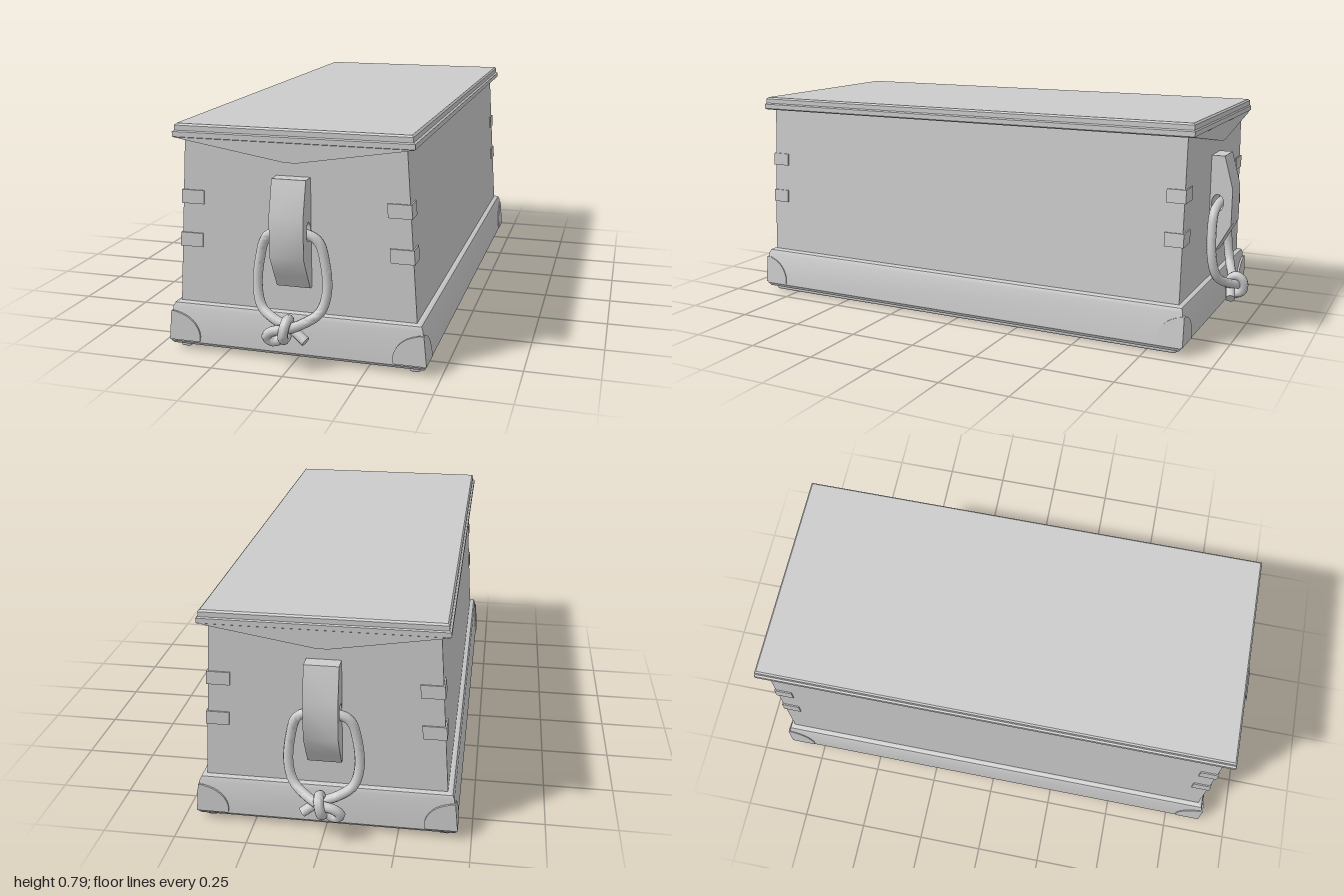
import * as THREE from 'three';
import { toCreasedNormals } from 'three/addons/utils/BufferGeometryUtils.js';
import { RoundedBoxGeometry } from 'three/addons/geometries/RoundedBoxGeometry.js';

const material = new THREE.MeshStandardMaterial({ color: 0xcccccc });

// Moves every vertex by a rule; flip reverses the winding for mirrored rules.
function warp(source, rule, flip = false, crease = 0.5) {
  const geo = source.index ? source.toNonIndexed() : source.clone();
  const pos = geo.attributes.position;
  const out = [];
  for (let i = 0; i < pos.count; i += 3) {
    for (const k of flip ? [0, 2, 1] : [0, 1, 2]) {
      out.push(...rule(pos.getX(i + k), pos.getY(i + k), pos.getZ(i + k)));
    }
  }
  const result = new THREE.BufferGeometry();
  result.setAttribute('position', new THREE.Float32BufferAttribute(out, 3));
  result.computeVertexNormals();
  return toCreasedNormals(result, crease);
}

// Closed box lofted through rectangles given as [y, halfWidth, halfDepth].
function loft(levels) {
  const points = [], index = [];
  levels.forEach(([y, hx, hz], r) => {
    points.push(hx, y, hz, hx, y, -hz, -hx, y, -hz, -hx, y, hz);
    if (r === 0) return;
    for (let k = 0; k < 4; k++) {
      const a = (r - 1) * 4 + k, b = (r - 1) * 4 + (k + 1) % 4;
      index.push(a, b, b + 4, a, b + 4, a + 4);
    }
  });
  const t = (levels.length - 1) * 4;
  index.push(0, 2, 1, 0, 3, 2, t, t + 1, t + 2, t, t + 2, t + 3);
  const geo = new THREE.BufferGeometry();
  geo.setAttribute('position', new THREE.Float32BufferAttribute(points, 3));
  geo.setIndex(index);
  return warp(geo, (x, y, z) => [x, y, z]);
}

const polygon = (pts) => new THREE.Shape(pts.map(([x, y]) => new THREE.Vector2(x, y)));
const extrude = (shape, depth) =>
  new THREE.ExtrudeGeometry(shape, { depth, bevelEnabled: false, curveSegments: 10 });

function add(parent, name, geo) {
  const mesh = new THREE.Mesh(geo, material);
  mesh.name = name;
  parent.add(mesh);
  return mesh;
}

// Two plates wrapped around each of the four upright corners.
function cornerPlates(parent, name, frontShape, sideShape, edgeX, edgeZ) {
  const depth = 0.02;
  const front = extrude(frontShape, depth), side = extrude(sideShape, depth);
  for (const sx of [1, -1]) for (const sz of [1, -1]) {
    const mirrored = sx * sz < 0;
    add(parent, name, warp(front, (u, y, w) =>
      [sx * (edgeX(y) - u), y, sz * (edgeZ - depth + w)], !mirrored));
    add(parent, name, warp(side, (u, y, w) =>
      [sx * (edgeX(y) - depth + w), y, sz * (edgeZ - u)], mirrored));
  }
}

const rectangle = (w, y0, y1) => polygon([[0, y0], [w, y0], [w, y1], [0, y1]]);

// Quarter-round corner guard outline.
function guardShape(width) {
  const s = new THREE.Shape();
  s.moveTo(0, 0.035);
  s.lineTo(width, 0.035);
  s.lineTo(width, 0.055);
  s.bezierCurveTo(width * 0.95, 0.09, width * 0.65, 0.135, 0, 0.14);
  s.closePath();
  return s;
}

const curve = (pts, closed = false) =>
  new THREE.CatmullRomCurve3(pts.map((p) => new THREE.Vector3(...p)), closed);

// Geometries of one end handle: wooden cleat, rope and knot.
function handleParts() {
  const profile = polygon([[0.85, 0.265], [0.875, 0.265], [0.9, 0.31], [0.938, 0.38],
    [0.938, 0.515], [0.905, 0.635], [0.85, 0.635]]);
  const hole = new THREE.Path();
  hole.absellipse(0.885, 0.46, 0.022, 0.032, 0, Math.PI * 2, true);
  profile.holes.push(hole);
  const cleat = extrude(profile, 0.116).rotateY(-Math.PI / 2).translate(0.058, 0, 0);

  const r = 0.017;
  const rope = curve([
    [0.065, 0.108, 0.95], [0.01, 0.143, 0.935], [-0.05, 0.165, 0.925], [-0.1, 0.195, 0.905],
    [-0.12, 0.26, 0.89], [-0.112, 0.36, 0.882], [-0.09, 0.43, 0.882], [-0.05, 0.452, 0.884],
    [0.05, 0.452, 0.884], [0.09, 0.43, 0.882], [0.112, 0.36, 0.882], [0.12, 0.26, 0.89],
    [0.1, 0.195, 0.905], [0.05, 0.162, 0.935], [0, 0.147, 0.96], [-0.045, 0.138, 0.965],
    [-0.067, 0.115, 0.96], [-0.045, 0.097, 0.95], [0, 0.12, 0.945]]);
  const ropeEnd = new THREE.CircleGeometry(r, 10);
  ropeEnd.applyQuaternion(new THREE.Quaternion().setFromUnitVectors(
    new THREE.Vector3(0, 0, 1), rope.getTangent(0).negate()));
  ropeEnd.translate(...rope.getPoint(0).toArray());

  const wrap = [];
  for (let i = 0; i < 8; i++) {
    const a = (i / 8) * Math.PI * 2;
    wrap.push([0.006 * Math.cos(a), 0.145 + 0.035 * Math.cos(a), 0.955 + 0.028 * Math.sin(a)]);
  }
  return {
    handleCleat: cleat,
    handleRope: new THREE.TubeGeometry(rope, 110, r, 10),
    ropeEnd,
    knotWrap: new THREE.TubeGeometry(curve(wrap, true), 28, r, 10, true),
  };
}

export function createModel() {
  const chest = new THREE.Group();
  chest.name = 'seaChest';

  // Tapered body, plinth and flat lid
  add(chest, 'body', loft([[0.15, 0.416, 0.857], [0.75, 0.376, 0.857]]));
  add(chest, 'plinth', loft([[0.018, 0.443, 0.87], [0.03, 0.45, 0.88], [0.155, 0.438, 0.877],
    [0.168, 0.432, 0.872], [0.173, 0.42, 0.862]]));
  add(chest, 'lid', loft([[0.745, 0.4, 0.88], [0.75, 0.408, 0.888], [0.767, 0.408, 0.888],
    [0.771, 0.401, 0.884], [0.788, 0.401, 0.884], [0.794, 0.395, 0.878]]));

  // Pointed lid skirts at both ends
  const skirt = extrude(polygon([[-0.4, 0.752], [-0.385, 0.744], [-0.02, 0.684], [0.02, 0.684],
    [0.385, 0.744], [0.4, 0.752]]), 0.03);
  for (const s of [1, -1]) {
    add(chest, 'lidSkirt', warp(skirt, (x, y, z) => [x, y, s * (z + 0.855)], s < 0));
  }

  // Runners under the long sides
  for (const s of [1, -1]) {
    const runner = add(chest, 'runner', new RoundedBoxGeometry(0.038, 0.034, 1.71, 3, 0.009));
    runner.position.set(s * 0.408, 0.017, 0);
  }

  // Plinth guards and body straps at the corners
  cornerPlates(chest, 'cornerGuard', guardShape(0.112), guardShape(0.098),
    (y) => 0.4535 - (y - 0.03) * 0.096, 0.885);
  for (const [y0, y1] of [[0.37, 0.418], [0.52, 0.567]]) {
    cornerPlates(chest, 'cornerStrap', rectangle(0.08, y0, y1), rectangle(0.068, y0, y1),
      (y) => 0.421 - (y - 0.15) * 0.0667, 0.862);
  }

  // Rope handles, mirrored front to back
  const parts = handleParts();
  for (const s of [1, -1]) {
    const handle = new THREE.Group();
    handle.name = s > 0 ? 'frontHandle' : 'backHandle';
    for (const [name, geo] of Object.entries(parts)) {
      add(handle, name, warp(geo, (x, y, z) => [x, y, s * z], s < 0, name === 'handleCleat' ? 0.8 : 1.2));
    }
    chest.add(handle);
  }
  return chest;
}
